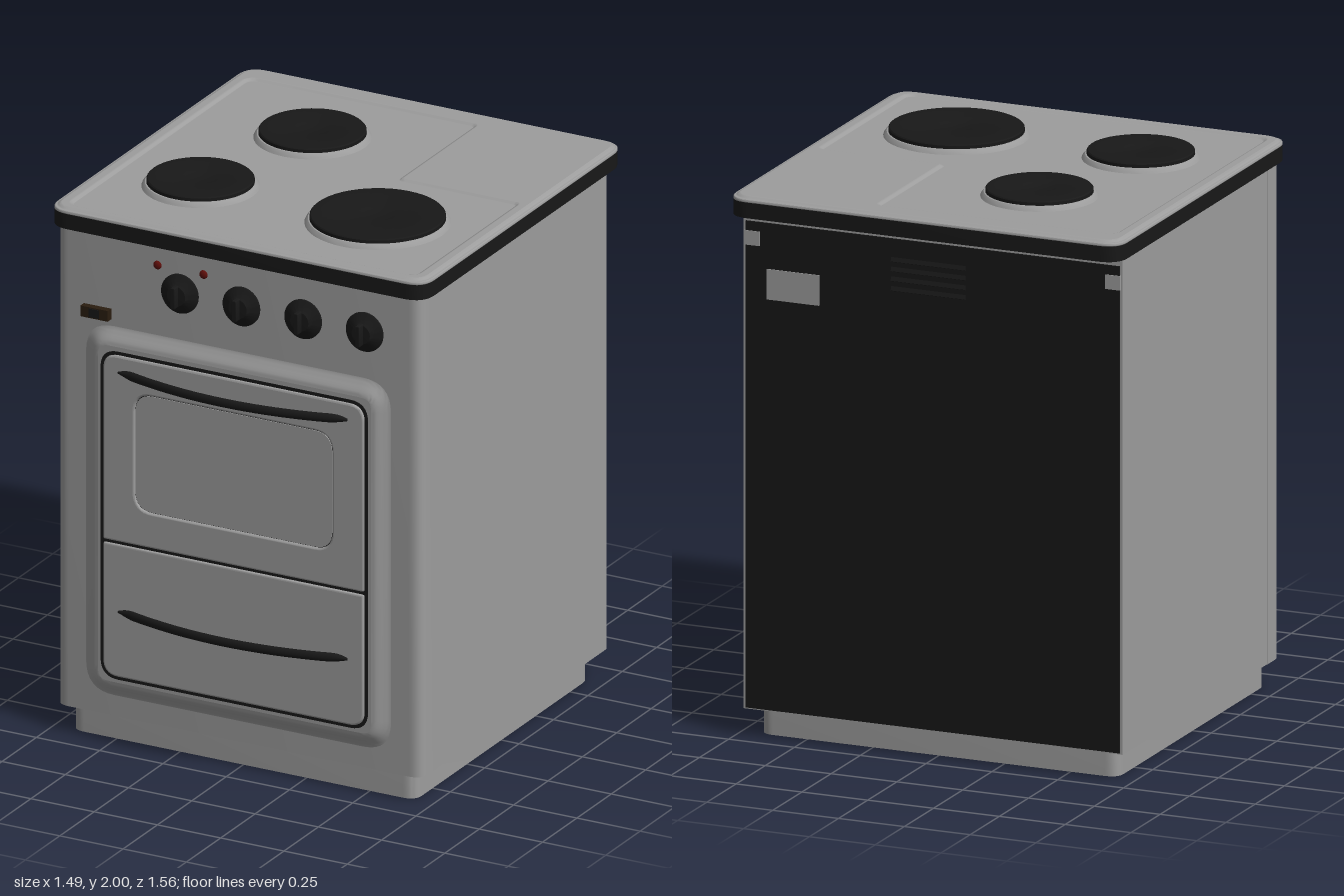
import * as THREE from 'three';
import { toCreasedNormals } from 'three/addons/utils/BufferGeometryUtils.js';

const grey = new THREE.MeshStandardMaterial({ color: 0x9d9d9d });
const black = new THREE.MeshStandardMaterial({ color: 0x181818 });
const red = new THREE.MeshStandardMaterial({ color: 0x5e0f0b });
const brown = new THREE.MeshStandardMaterial({ color: 0x2a1d10 });

// closed outline through corners [x, y, radius]
function outline(corners, Type = THREE.Shape) {
  const path = new Type();
  const n = corners.length;
  corners.forEach(([x, y, r], i) => {
    const toward = ([px, py]) => {
      const d = Math.hypot(px - x, py - y);
      return [x + (px - x) * r / d, y + (py - y) * r / d];
    };
    const a = toward(corners[(i + n - 1) % n]);
    const b = toward(corners[(i + 1) % n]);
    if (i === 0) path.moveTo(...a); else path.lineTo(...a);
    if (r > 0) path.quadraticCurveTo(x, y, ...b);
  });
  path.closePath();
  return path;
}

// rectangle corners; rb and rt are the bottom and top corner radii
const rect = (x0, x1, y0, y1, rb, rt = rb) =>
  [[x0, y0, rb], [x1, y0, rb], [x1, y1, rt], [x0, y1, rt]];

// slab between depths d0 and d1, bevelled inwards at both ends;
// a soft slab swells out of the surface below in an S-curve
function slab(corners, d0, d1, { bevel = 0, hole = null, rise = bevel, soft = false } = {}) {
  const shape = outline(corners);
  if (hole) shape.holes.push(outline(hole, THREE.Path));
  const raw = new THREE.ExtrudeGeometry(shape, {
    depth: d1 - d0 - 2 * rise, curveSegments: 8, bevelEnabled: bevel > 0,
    bevelSize: bevel, bevelThickness: rise, bevelOffset: -bevel, bevelSegments: soft ? 12 : 4,
  });
  raw.translate(0, 0, d0 + rise);
  const rp = raw.attributes.position;
  for (let i = 0; soft && i < rp.count; i++) {
    const h = Math.min(1, (rp.getZ(i) - (d1 - rise)) / rise);
    if (h > 0) rp.setZ(i, d1 - rise + rise * THREE.MathUtils.smoothstep(1 - Math.sqrt(1 - h * h), 0, 1));
  }
  const g = toCreasedNormals(raw, 0.6);
  // keep the flat faces evenly shaded
  const p = g.attributes.position;
  for (let i = 0; i < p.count; i += 3) {
    const [a, b, c] = [0, 1, 2].map((k) => new THREE.Vector3().fromBufferAttribute(p, i + k));
    const n = new THREE.Triangle(a, b, c).getNormal(new THREE.Vector3());
    if (Math.abs(n.z) > 0.9999) {
      for (let k = 0; k < 3; k++) g.attributes.normal.setXYZ(i + k, n.x, n.y, n.z);
    }
  }
  return g;
}
// the same slab lying flat: outline y becomes -z, depth becomes height
const flat = (...args) => slab(...args).rotateX(-Math.PI / 2);

// smooth turned shape from [radius, height] points
const lathe = (pts) => toCreasedNormals(
  new THREE.LatheGeometry(pts.map((p) => new THREE.Vector2(...p)), 48), 0.5);

export function createModel() {
  const model = new THREE.Group();
  const add = (name, geometry, material, x = 0, y = 0, z = 0, parent = model) => {
    const mesh = new THREE.Mesh(geometry, material);
    mesh.name = name;
    mesh.position.set(x, y, z);
    parent.add(mesh);
    return mesh;
  };
  const box = (name, w, h, d, material, x, y, z) =>
    add(name, new THREE.BoxGeometry(w, h, d), material, x, y, z);

  // cabinet: hollow plinth with dark lining, body, rounded front frame, back panel
  add('plinth', flat(rect(-0.68, 0.68, -0.625, 0.64, 0.05), 0, 0.1,
    { hole: rect(-0.676, 0.676, -0.621, 0.636, 0.048) }), grey);
  add('plinthLining', flat(rect(-0.676, 0.676, -0.621, 0.636, 0.048), 0.001, 0.1,
    { hole: rect(-0.672, 0.672, -0.617, 0.632, 0.046) }), black);
  box('floorPanel', 1.35, 0.01, 1.25, black, 0, 0.1, 0.0);
  box('cabinetBody', 1.44, 1.8, 1.235, grey, 0, 1, -0.0725);
  add('frontFrame', flat([[-0.722, -0.66, 0.05], [0.722, -0.66, 0.05],
    [0.722, -0.545, 0], [-0.722, -0.545, 0]], 0.1, 1.9), grey);
  box('backPanel', 1.42, 1.76, 0.006, black, 0, 0.985, -0.692);

  // back fittings
  for (const s of [-1, 1]) box('backClip', 0.058, 0.052, 0.008, grey, s * 0.685, 1.805, -0.694);
  box('ratingPlate', 0.2, 0.11, 0.006, grey, 0.53, 1.645, -0.695);
  for (let i = 0; i < 4; i++) {
    const louvre = box('ventLouvre', 0.28, 0.016, 0.01, black, 0.015, 1.79 - i * 0.035, -0.697);
    louvre.rotation.x = 0.4;
  }

  // worktop: dark edge, grey underside, pressed top with a shallow pan
  const top = (inset) => rect(-0.744 + inset, 0.744 - inset, -0.683 + inset, 0.78 - inset, 0.08);
  const pan = [[-0.675, -0.625, 0.03], [0.675, -0.625, 0.03], [0.675, 0.105, 0.01],
    [0.205, 0.105, 0.03], [0.205, 0.665, 0.01], [-0.675, 0.665, 0.03]];
  add('worktopEdge', flat(top(0.001), 1.9, 1.958), black);
  add('worktopUnderside', flat(top(0.02), 1.898, 1.91), grey);
  add('hobPan', flat(top(0), 1.954, 1.968, { bevel: 0.006 }), grey);
  add('hobRim', flat(top(0.004), 1.956, 1.976, { bevel: 0.02, hole: pan, rise: 0.009, soft: true }), grey);

  // hotplates
  const plates = [[-0.24, -0.32, 0.207], [-0.37, 0.255, 0.207], [0.33, 0.255, 0.256]];
  for (const [x, z, r] of plates) {
    const hotplate = new THREE.Group();
    hotplate.name = 'hotplate';
    hotplate.position.set(x, 1.966, z);
    model.add(hotplate);
    add('hotplateRing', lathe([[r, 0], [r - 0.004, 0.008], [r - 0.013, 0.018],
      [r - 0.018, 0.019], [r - 0.02, 0.01]]), grey, 0, 0, 0, hotplate);
    add('hotplateDisc', lathe([[r - 0.019, 0], [r - 0.019, 0.03], [r - 0.023, 0.034],
      [0.06, 0.034], [0.055, 0.032], [0, 0.032]]), black, 0, 0, 0, hotplate);
  }

  // swelling surround with dark seal
  add('doorSurround', slab(rect(-0.61, 0.61, 0.17, 1.57, 0.12), 0.6, 0.69,
    { bevel: 0.07, rise: 0.031, soft: true }), grey);
  add('doorSeal', slab(rect(-0.528, 0.528, 0.253, 1.484, 0.07), 0.65, 0.692), black);

  // oven door with recessed window, and drawer below
  add('ovenDoor', slab(rect(-0.516, 0.516, 0.774, 1.472, 0.01, 0.06), 0.67, 0.7,
    { bevel: 0.008, hole: rect(-0.39, 0.39, 0.905, 1.345, 0.07) }), grey);
  add('windowSeal', slab(rect(-0.4, 0.4, 0.895, 1.355, 0.07), 0.66, 0.691), black);
  add('windowPane', slab(rect(-0.388, 0.388, 0.907, 1.343, 0.069), 0.66, 0.695), grey);
  add('drawerFront', slab(rect(-0.516, 0.516, 0.265, 0.763, 0.06, 0.01), 0.67, 0.7, { bevel: 0.008 }), grey);

  // bowed handles: flattened tubes rounded off at the ends
  const bowZ = (x) => 0.768 - 0.074 * (x / 0.45) ** 2;
  const bow = new THREE.CatmullRomCurve3([-0.45, -0.33, -0.17, 0, 0.17, 0.33, 0.45].map(
    (x) => new THREE.Vector3(x, 0, bowZ(x))));
  for (const [name, y] of [['doorHandle', 1.41], ['drawerHandle', 0.512]]) {
    const g = new THREE.TubeGeometry(bow, 60, 0.017, 12);
    const p = g.attributes.position;
    for (let i = 0; i < p.count; i++) {
      const t = Math.min(1, Math.sqrt(Math.max(0.1, (0.455 - Math.abs(p.getX(i))) / 0.06)));
      const z = bowZ(p.getX(i));
      p.setY(i, p.getY(i) * t);
      p.setZ(i, z + (p.getZ(i) - z) * 0.65);
    }
    g.computeVertexNormals();
    add(name, g, black, 0, y, 0);
  }

  // control knobs: domed skirt and grip bar
  for (const x of [-0.23, 0.013, 0.257, 0.5]) {
    const knob = new THREE.Group();
    knob.name = 'controlKnob';
    knob.position.set(x, 1.737, 0.66);
    model.add(knob);
    const skirt = lathe([[0.073, 0], [0.073, 0.006], [0.066, 0.011], [0.045, 0.022], [0.036, 0.032], [0, 0.034]]);
    add('knobSkirt', skirt.rotateX(Math.PI / 2), black, 0, 0, 0, knob);
    add('knobGrip', slab(rect(-0.009, 0.009, -0.04, 0.04, 0.006), 0.01, 0.06, { bevel: 0.003 }),
      black, 0, 0, 0, knob);
  }

  // indicator lamps
  for (const x of [-0.32, -0.138]) {
    const lamp = new THREE.SphereGeometry(0.016, 16, 8, 0, Math.PI * 2, 0, Math.PI / 2);
    lamp.rotateX(Math.PI / 2).scale(1, 1, 0.6);
    add('indicatorLamp', lamp, red, x, 1.826, 0.66);
  }

  // small plate on the front panel
  box('frontPlate', 0.108, 0.04, 0.028, brown, -0.557, 1.606, 0.672);
  box('frontPlateInset', 0.04, 0.032, 0.006, black, -0.557, 1.606, 0.685);

  return model;
}
